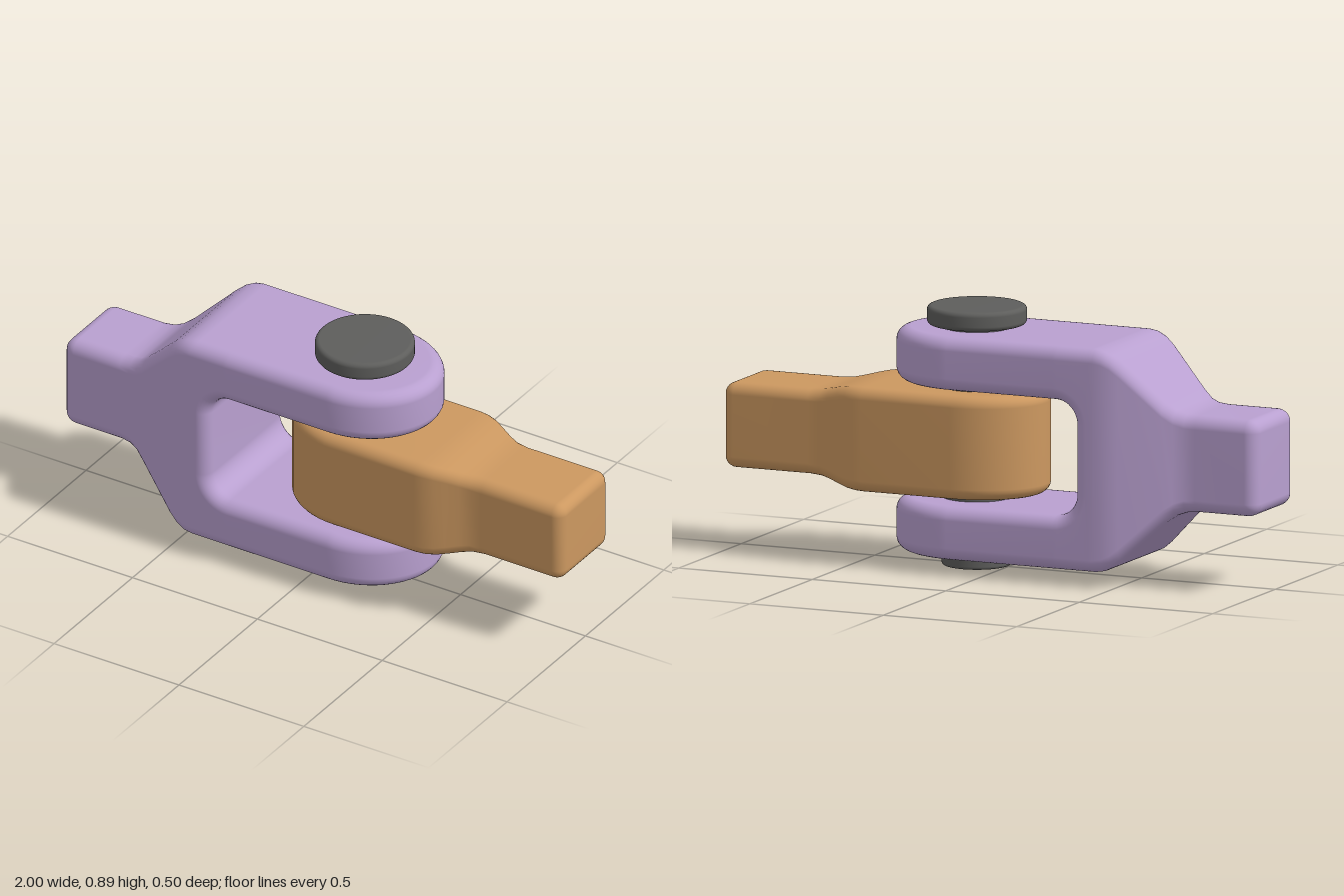
import * as THREE from 'three';
import { mergeGeometries, mergeVertices } from 'three/addons/utils/BufferGeometryUtils.js';

const N = 6;          // segments per edge fillet
const MID = 0.435;    // height of the joint's centre line
const PIN_X = 0.117;  // pin axis

// Corner template: direction of each fillet point, counter-clockwise from +z
const corners = [];
[[1, 1], [-1, 1], [-1, -1], [1, -1]].forEach(([sz, sy], q) => {
  for (let i = 0; i <= N; i++) {
    const a = (q + i / N) * Math.PI / 2;
    corners.push({ sz, sy, c: Math.cos(a), s: Math.sin(a) });
  }
});

// Rounded rectangle across x: half height h, half width w, fillet f
const section = (x, h, w, f) => corners.map(({ sz, sy, c, s }) =>
  [x, sy * (h - f) + f * s, sz * (w - f) + f * c]);

// Skin a row of rings; optional end cap on 'start' or 'end'
function loft(rings, { flip = false, cap = null, skip = () => false } = {}) {
  const n = rings[0].length, pos = rings.flat(2), index = [];
  const tri = (a, b, c) => (flip ? index.push(a, c, b) : index.push(a, b, c));
  for (let i = 0; i < rings.length - 1; i++) {
    for (let j = 0; j < n; j++) {
      if (skip(i, j)) continue;
      const k = (j + 1) % n, a = i * n, b = a + n;
      tri(a + j, b + j, a + k);
      tri(b + j, b + k, a + k);
    }
  }
  if (cap) {
    const base = cap === 'start' ? 0 : (rings.length - 1) * n;
    const centre = pos.length / 3;
    pos.push(pos[base * 3], 0, 0);
    for (let j = 0; j < n; j++) {
      const p = base + j, q = base + (j + 1) % n;
      if (cap === 'start') tri(centre, p, q); else tri(centre, q, p);
    }
  }
  const g = new THREE.BufferGeometry();
  g.setAttribute('position', new THREE.Float32BufferAttribute(pos, 3));
  g.setIndex(index);
  return g;
}

// Turned disc with filleted rims, whole or half
function disc(r, half, f, start = 0, sweep = Math.PI * 2, segments = 64) {
  const pts = [new THREE.Vector2(0, -half)];
  for (const side of [-1, 1]) {
    for (let i = 0; i <= N; i++) {
      const t = (side < 0 ? i : N - i) / N * Math.PI / 2;
      pts.push(new THREE.Vector2(r - f + f * Math.sin(t), side * (half - f + f * Math.cos(t))));
    }
  }
  pts.push(new THREE.Vector2(0, half));
  const g = new THREE.LatheGeometry(pts, segments, start, sweep);
  g.deleteAttribute('uv');
  g.deleteAttribute('normal');
  return g;
}

// Weld pieces into one smooth surface
function weld(parts) {
  const g = mergeVertices(mergeGeometries(parts), 1e-4);
  g.computeVertexNormals();
  return g;
}

// Rounded end of a shank: insets paired with distance from the tip
function tipSections(tipX, inward, h, w, f) {
  const rings = [];
  for (let i = 0; i <= N; i++) {
    const t = i / N * Math.PI / 2;
    const e = f * (1 - Math.sin(t));
    rings.push(section(tipX + inward * f * (1 - Math.cos(t)), h - e, w - e, f - e));
  }
  return rings;
}

function forkGeometry() {
  const f = 0.045, H = 0.385, W = 0.25, backX = -0.43;
  const slotH = 0.2, slotR = 0.08, slotX = -0.28;

  // shank flaring into the yoke: x, half height, half width
  const flare = [
    [-0.77, 0.167, 0.155], [-0.73, 0.17, 0.16], [-0.695, 0.182, 0.171], [-0.66, 0.207, 0.187],
    [-0.52, 0.342, 0.236], [-0.49, 0.366, 0.244], [-0.46, 0.38, 0.249], [backX, H, W],
  ];
  const shank = loft([
    ...tipSections(-1, 1, 0.167, 0.155, f),
    ...flare.map(([x, h, w]) => section(x, h, w, f)),
  ], { cap: 'start' });

  // yoke: rings follow the slot on the inside and the arm on the outside
  const ring = (inner, outer) => corners.map(({ sz, sy, c, s }) => {
    const d = f - f * Math.abs(s);
    const [x, y] = sy > 0 ? outer(d) : inner(d);
    return [x, y, sz * (W - f) + f * c];
  });
  const upper = [ring(d => [PIN_X, slotH + d], d => [PIN_X, H - d])];
  const steps = 10;
  for (let i = 0; i <= steps; i++) {
    const t = i / steps, a = t * Math.PI / 2;
    upper.push(ring(
      d => [slotX - (slotR + d) * Math.sin(a), slotH - slotR + (slotR + d) * Math.cos(a)],
      d => [THREE.MathUtils.lerp(slotX, backX, t), H - d],
    ));
  }
  const corner = upper.length - 1;
  upper.push(ring(d => [slotX - slotR - d, slotH - slotR], () => [backX, slotH - slotR]));
  const lower = upper.map(r => r.map(([x, y, z]) => [x, -y, z])).reverse();
  const rings = [...upper, ...lower];
  const yoke = loft(rings, {
    flip: true,
    // leave the join with the shank open
    skip: (i, j) => i >= corner && i < rings.length - 1 - corner && j <= 2 * N,
  });

  // rounded arm ends
  const ends = [-1, 1].map(side => disc(W, (H - slotH) / 2, f, 0, Math.PI, 32)
    .scale(0.278 / W, 1, 1).translate(PIN_X, side * (H + slotH) / 2, 0));
  return weld([shank, yoke, ...ends]);
}

function tangGeometry() {
  const f = 0.04, H = 0.18, W = 0.222;
  // eye narrowing into the shank: x, half height, half width
  const taper = [
    [PIN_X, H, W], [0.45, H, W], [0.485, 0.179, 0.218], [0.52, 0.175, 0.208],
    [0.555, 0.168, 0.192], [0.6, 0.157, 0.172], [0.635, 0.15, 0.16], [0.68, 0.147, 0.155],
  ];
  const body = loft([
    ...taper.map(([x, h, w]) => section(x, h, w, f)),
    ...tipSections(1, -1, 0.147, 0.155, f).reverse(),
  ], { cap: 'end' });
  const eye = disc(W, H, f, Math.PI, Math.PI, 32).scale(0.257 / W, 1, 1).translate(PIN_X, 0, 0);
  return weld([body, eye]);
}

export function createModel() {
  const lilac = new THREE.MeshStandardMaterial({ name: 'lilac', color: 0xb9a0d0 });
  const orange = new THREE.MeshStandardMaterial({ name: 'orange', color: 0xcc9860 });
  const grey = new THREE.MeshStandardMaterial({ name: 'darkGrey', color: 0x5e5e5c });

  const model = new THREE.Group();
  model.name = 'clevisJoint';
  const add = (name, geometry, material, x, y) => {
    const mesh = new THREE.Mesh(geometry, material);
    mesh.name = name;
    mesh.position.set(x, y, 0);
    model.add(mesh);
  };

  add('fork', forkGeometry(), lilac, 0, MID);
  add('tang', tangGeometry(), orange, 0, MID);
  add('pinShaft', weld([disc(0.12, 0.42, 0.01)]), grey, PIN_X, 0.42);
  add('pinHead', weld([disc(0.17, 0.0325, 0.016)]), grey, PIN_X, 0.8625);
  return model;
}
